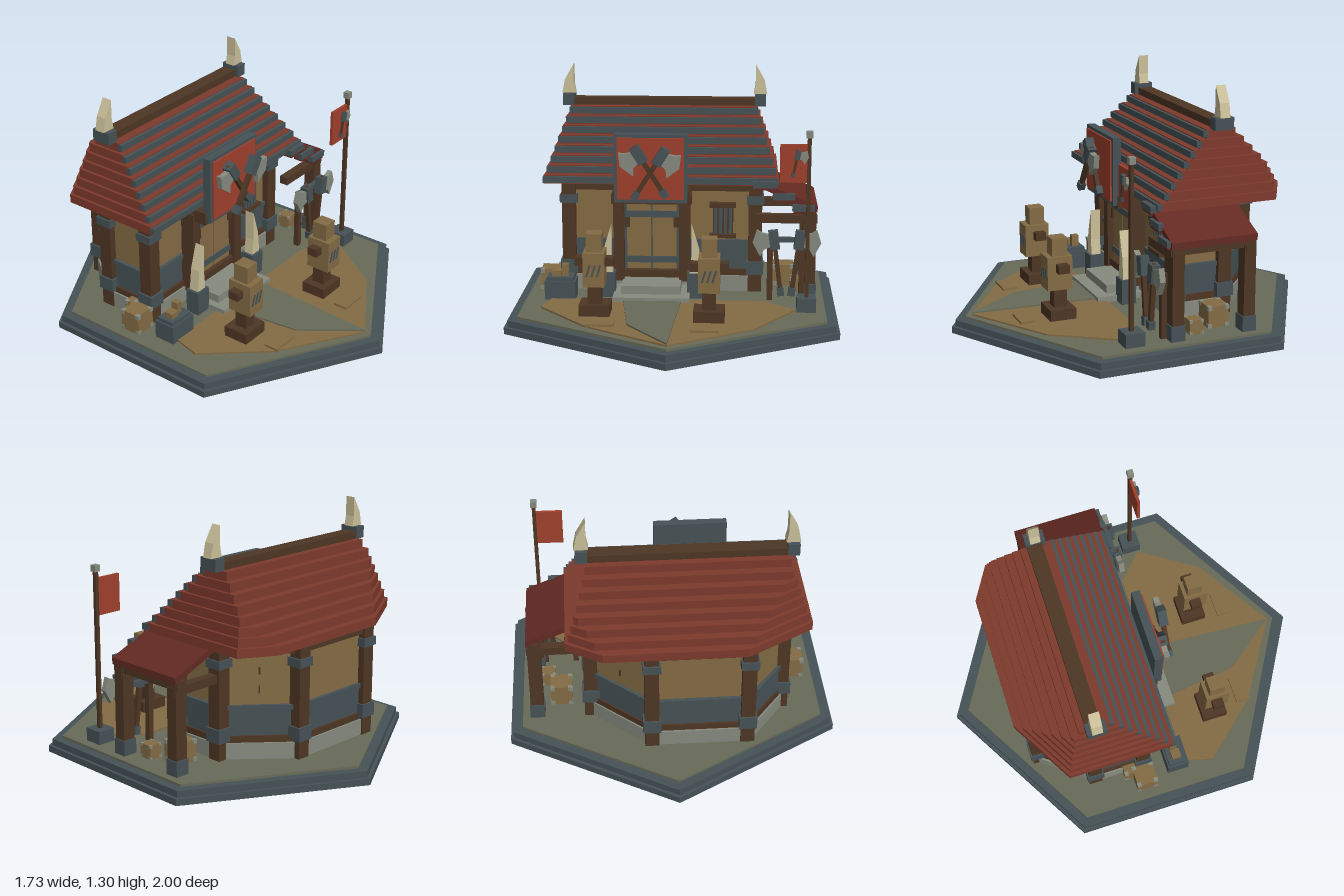
import * as THREE from 'three';

const mat = (name, color) => {
  const m = new THREE.MeshStandardMaterial({ color });
  m.name = name;
  m.flatShading = true;
  return m;
};

export function createModel() {
  const slate = mat('slate', 0x465256), wood = mat('dark wood', 0x4e3624), tan = mat('tan', 0x846c44);
  const red = mat('roof red', 0x7e3a2d), darkRed = mat('awning red', 0x632a23), cloth = mat('banner red', 0xa0402c);
  const olive = mat('ground olive', 0x686b58), stone = mat('stone grey', 0x868a7e), bone = mat('bone', 0xcbc09a);

  const root = new THREE.Group();
  root.name = 'warriorHall';
  const add = (name, geo, m, parent = root) => {
    const mesh = new THREE.Mesh(geo, m);
    mesh.name = name;
    parent.add(mesh);
    return mesh;
  };
  // Box given by its min and max along each axis
  const box = (name, m, x0, x1, y0, y1, z0, z1, parent = root) => {
    const b = add(name, new THREE.BoxGeometry(x1 - x0, y1 - y0, z1 - z0), m, parent);
    b.position.set((x0 + x1) / 2, (y0 + y1) / 2, (z0 + z1) / 2);
    return b;
  };
  // Flat prism from a plan of [x, z] points
  const prism = (name, m, pts, y0, y1) => {
    const shape = new THREE.Shape(pts.map(([x, z]) => new THREE.Vector2(x, -z)));
    const g = new THREE.ExtrudeGeometry(shape, { depth: y1 - y0, bevelEnabled: false });
    g.rotateX(-Math.PI / 2);
    const p = add(name, g, m);
    p.position.y = y0;
    return p;
  };
  // Upright plate from [x, y] points, centred in z
  const plate = (name, m, pts, depth, parent = root) => {
    const shape = new THREE.Shape(pts.map(([x, y]) => new THREE.Vector2(x, y)));
    const g = new THREE.ExtrudeGeometry(shape, { depth, bevelEnabled: false });
    g.translate(0, 0, -depth / 2);
    return add(name, g, m, parent);
  };
  const hex = (r) => [0, 1, 2, 3, 4, 5].map((i) => [r * Math.sin(i * Math.PI / 3), r * Math.cos(i * Math.PI / 3)]);

  // Ground
  prism('baseLower', slate, hex(1), 0, 0.035);
  prism('baseUpper', slate, hex(0.98), 0.035, 0.07);
  prism('ground', olive, hex(0.925), 0.06, 0.083);
  prism('sandYard', tan, [[-0.66, 0.155], [-0.7, 0.31], [-0.43, 0.62], [0, 0.89], [0.43, 0.62], [0.64, 0.3], [0.48, 0.155]], 0.08, 0.092);
  prism('path', olive, [[-0.28, 0.15], [-0.22, 0.6], [0, 0.888], [0.04, 0.15]], 0.08, 0.1);
  box('yardTile', tan, -0.43, -0.285, 0.085, 0.104, 0.55, 0.63);
  box('yardTile', tan, 0.105, 0.25, 0.085, 0.104, 0.62, 0.7);

  // Walls: stacked rings on one plan
  const plan = [[-0.59, -0.08], [0.43, -0.08], [0.43, -0.355], [0.12, -0.62], [-0.38, -0.62], [-0.59, -0.355]];
  const grown = (d) => plan.map(([x, z]) => [-0.08 + (x + 0.08) * (1 + d / 0.51), -0.35 + (z + 0.35) * (1 + d / 0.27)]);
  prism('foundation', stone, grown(0.03), 0.07, 0.17);
  prism('sill', wood, grown(0.02), 0.17, 0.205);
  prism('wainscot', slate, grown(0.008), 0.205, 0.35);
  prism('wainscotRail', slate, grown(0.02), 0.345, 0.37);
  prism('wall', tan, plan, 0.35, 0.66);
  prism('topBeam', wood, grown(0.025), 0.645, 0.71);
  plan.forEach(([x, z]) => {
    const p = new THREE.Group();
    p.name = 'wallPost';
    p.position.set(x, 0, z);
    root.add(p);
    box('post', wood, -0.037, 0.037, 0.08, 0.7, -0.037, 0.037, p);
    box('postBand', slate, -0.047, 0.047, 0.575, 0.62, -0.047, 0.047, p);
    box('postFoot', slate, -0.047, 0.047, 0.18, 0.255, -0.047, 0.047, p);
  });
  // Slits in the angled back wall
  [0.43, 0.53].forEach((y) => {
    const s = add('wallSlit', new THREE.BoxGeometry(0.008, 0.04, 0.008), wood);
    s.position.set(0.276, y + 0.02, -0.489);
    s.rotation.y = Math.atan2(0.265, 0.31);
  });

  // Roof tiers, back corners cut along the hexagon
  const cutPlan = (x0, x1, zf, zb, r) => {
    const edge = (x) => -(r - Math.abs(x) * 0.577);
    const pts = [[x0, zf], [x1, zf]];
    [x1, x0].forEach((x) => {
      const corner = [x, Math.max(zb, edge(x))];
      const back = [Math.sign(x) * (r + zb) / 0.577, zb];
      if (edge(x) <= zb) pts.push(corner);
      else pts.push(...(x > 0 ? [corner, back] : [back, corner]));
    });
    return pts;
  };
  for (let i = 0; i < 8; i++) {
    const x0 = -0.71 + 0.016 * i, x1 = 0.55 - 0.016 * i, zf = 0.05 - 0.043 * i, y = 0.7 + 0.047 * i;
    prism('roofTier', red, cutPlan(x0, x1, zf, -0.71 + 0.042 * i, 0.92 - 0.02 * i), y, y + 0.047);
    box('roofTrim', slate, x0 - 0.003, x1 + 0.003, y + 0.008, y + 0.042, zf - 0.01, zf + 0.018);
  }
  box('ridgeBeam', wood, -0.59, 0.43, 1.06, 1.115, -0.38, -0.3);

  // Horns: on the ridge ends and beside the door
  const hornPts = [[-0.037, 0], [0.037, 0], [0.027, 0.055], [0.027, 0.16], [-0.022, 0.075]];
  const horn = (name, x, y, z, side, sx, sy) => {
    const pts = hornPts.map(([px, py]) => [px * side * sx, py * sy]);
    plate(name, bone, pts, 0.055).position.set(x, y, z);
  };
  [[-0.612, 1], [0.452, -1]].forEach(([x, s]) => {
    box('hornSocket', slate, x - 0.031, x + 0.031, 1.075, 1.14, -0.385, -0.28);
    horn('roofHorn', x, 1.14, -0.333, s, 1, 1);
  });
  [[-0.37, 1], [0.11, -1]].forEach(([x, s]) => {
    box('tuskSocket', slate, x - 0.045, x + 0.045, 0.08, 0.22, 0.02, 0.1);
    horn('doorTusk', x, 0.22, 0.06, s, 0.85, 1.63);
  });

  // Door, frame and steps
  box('stepLower', stone, -0.33, 0.08, 0.08, 0.115, -0.06, 0.21);
  box('stepUpper', stone, -0.29, 0.03, 0.08, 0.16, -0.06, 0.14);
  [-0.312, 0.047].forEach((x) => {
    box('doorPost', wood, x - 0.029, x + 0.029, 0.15, 0.65, -0.07, 0.01);
    box('doorPostBracket', wood, x - 0.025, x + 0.025, 0.6, 0.67, -0.06, 0.09);
  });
  box('lintel', wood, -0.35, 0.085, 0.585, 0.64, -0.07, 0.02);
  box('threshold', wood, -0.29, 0.025, 0.17, 0.21, -0.06, 0);
  box('doorBacking', slate, -0.285, 0.02, 0.2, 0.59, -0.06, -0.035);
  [[-0.268, -0.137], [-0.128, 0.003]].forEach(([a, b], i) => {
    box('doorLeaf', tan, a, b, 0.215, 0.578, -0.05, -0.02);
    [0.25, 0.505].forEach((y) => box('doorBand', slate, a - 0.005, b + 0.005, y, y + 0.035, -0.03, -0.012));
    const hx = i ? 0.0 : -0.265;
    box('doorLatch', wood, hx - 0.014, hx + 0.014, 0.45, 0.505, -0.03, -0.008);
  });

  // Barred window
  box('windowVoid', wood, 0.2, 0.31, 0.4, 0.57, -0.085, -0.073);
  for (let i = 0; i < 4; i++) box('windowBar', slate, 0.205 + i * 0.027, 0.223 + i * 0.027, 0.4, 0.57, -0.08, -0.06);
  box('windowLintel', wood, 0.18, 0.325, 0.555, 0.58, -0.09, -0.04);
  box('windowLedge', wood, 0.18, 0.325, 0.385, 0.405, -0.09, -0.04);

  // Axe standing on its pommel, blade towards -x
  const axe = (name, x, y, z, length, tilt, side, scale = 1) => {
    const g = new THREE.Group();
    g.name = name;
    const h = length / scale;
    box('handle', wood, -0.012, 0.012, 0, h, -0.012, 0.012, g);
    box('pommel', slate, -0.018, 0.018, 0, 0.045, -0.018, 0.018, g);
    box('axeSocket', slate, -0.026, 0.026, h - 0.1, h, -0.024, 0.024, g);
    plate('blade', stone, [[-0.02, h - 0.085], [-0.02, h - 0.02], [-0.06, h - 0.005], [-0.085, h + 0.015],
      [-0.115, h - 0.05], [-0.085, h - 0.13], [-0.06, h - 0.095]].map(([a, b]) => [a * side, b]).sort(() => 0), 0.03, g);
    g.position.set(x, y, z);
    g.rotation.z = tilt * side;
    g.scale.setScalar(scale);
    root.add(g);
  };

  // Hall sign
  box('signFrame', slate, -0.325, 0.066, 0.615, 0.985, 0.07, 0.115);
  box('signCloth', cloth, -0.307, 0.048, 0.635, 0.967, 0.11, 0.125);
  axe('signAxe', -0.045, 0.655, 0.15, 0.32, 0.57, 1);
  axe('signAxe', -0.215, 0.655, 0.195, 0.32, 0.57, -1);

  // Side awning with its posts and beams
  const awning = plate('awningRoof', darkRed, [[0.44, 0.7], [0.76, 0.565], [0.76, 0.6], [0.44, 0.735]], 0.47);
  awning.position.z = -0.155;
  [[0.415, 0.54, 0.69], [0.52, 0.64, 0.625], [0.625, 0.745, 0.565]].forEach(([a, b, y]) => {
    box('awningTrim', slate, a, b, y + 0.008, y + 0.042, 0.07, 0.1);
    box('awningBoard', darkRed, a + 0.008, b - 0.008, y - 0.005, y + 0.01, 0.04, 0.095);
  });
  [0.04, -0.355].forEach((z) => {
    box('awningPost', wood, 0.685, 0.755, 0.08, 0.57, z - 0.032, z + 0.032);
    box('awningPostFoot', slate, 0.68, 0.76, 0.08, 0.165, z - 0.038, z + 0.038);
    box('awningBeam', wood, 0.43, 0.76, 0.5, 0.545, z - 0.025, z + 0.025);
  });
  box('awningSideBeam', wood, 0.69, 0.75, 0.53, 0.575, -0.39, 0.08);

  // Weapon rack
  box('rackRail', slate, 0.5, 0.69, 0.405, 0.43, 0.08, 0.11);
  [0.51, 0.68].forEach((x) => box('rackLeg', wood, x - 0.015, x + 0.015, 0.08, 0.43, 0.075, 0.105));
  axe('rackAxe', 0.57, 0.12, 0.135, 0.36, 0.13, 1);
  axe('rackAxe', 0.625, 0.12, 0.135, 0.36, 0.13, -1);

  // Flag
  box('flagBase', slate, 0.65, 0.75, 0.08, 0.155, 0.215, 0.32);
  box('flagPole', wood, 0.69, 0.71, 0.1, 1.01, 0.26, 0.28);
  box('flagFinial', stone, 0.683, 0.717, 1.005, 1.04, 0.253, 0.287);
  box('flagCloth', cloth, 0.55, 0.69, 0.77, 0.97, 0.262, 0.278);
  axe('flagAxe', 0.615, 0.8, 0.288, 0.145, 0.22, -1, 0.5);

  // Training dummies
  [[-0.4, 0.4], [0.195, 0.475]].forEach(([x, z]) => {
    const d = new THREE.Group();
    d.name = 'trainingDummy';
    d.position.set(x, 0, z);
    root.add(d);
    box('dummyBase', wood, -0.08, 0.08, 0.085, 0.15, -0.07, 0.07, d);
    box('dummyPost', wood, -0.035, 0.035, 0.14, 0.26, -0.035, 0.035, d);
    box('dummyBody', tan, -0.055, 0.055, 0.25, 0.43, -0.06, 0.075, d);
    box('dummyHead', tan, -0.04, 0.04, 0.43, 0.525, -0.04, 0.045, d);
    box('dummyArms', wood, -0.1, 0.1, 0.35, 0.395, -0.03, 0.03, d);
    for (let i = -1; i <= 1; i++) {
      const cut = box('slashMark', slate, -0.005, 0.005, 0.305, 0.37, 0.073, 0.079, d);
      cut.position.x = i * 0.027;
      cut.rotation.z = -0.3;
    }
  });

  // Crates with corner caps
  const crate = (x, z, s) => {
    const g = new THREE.Group();
    g.name = 'crate';
    g.position.set(x, 0.083, z);
    root.add(g);
    box('crateBody', tan, -s / 2, s / 2, 0, s, -s / 2, s / 2, g);
    for (const a of [-1, 1]) for (const b of [-1, 1]) for (const c of [0.1, 0.91]) {
      const cap = add('crateCorner', new THREE.BoxGeometry(s * 0.2, s * 0.2, s * 0.2), stone, g);
      cap.position.set(a * s * 0.42, c * s, b * s * 0.42);
    }
  };
  crate(-0.61, -0.14, 0.11);
  crate(-0.69, -0.09, 0.115);
  crate(0.59, -0.235, 0.115);
  crate(0.66, -0.09, 0.075);

  // Slate supply bin
  box('binBody', slate, -0.7, -0.535, 0.08, 0.185, 0.045, 0.165);
  box('binRim', slate, -0.69, -0.545, 0.185, 0.205, 0.055, 0.155);
  box('binGoods', tan, -0.665, -0.615, 0.2, 0.235, 0.08, 0.13);
  box('binGoods', tan, -0.61, -0.575, 0.2, 0.27, 0.08, 0.12);
  return root;
}
